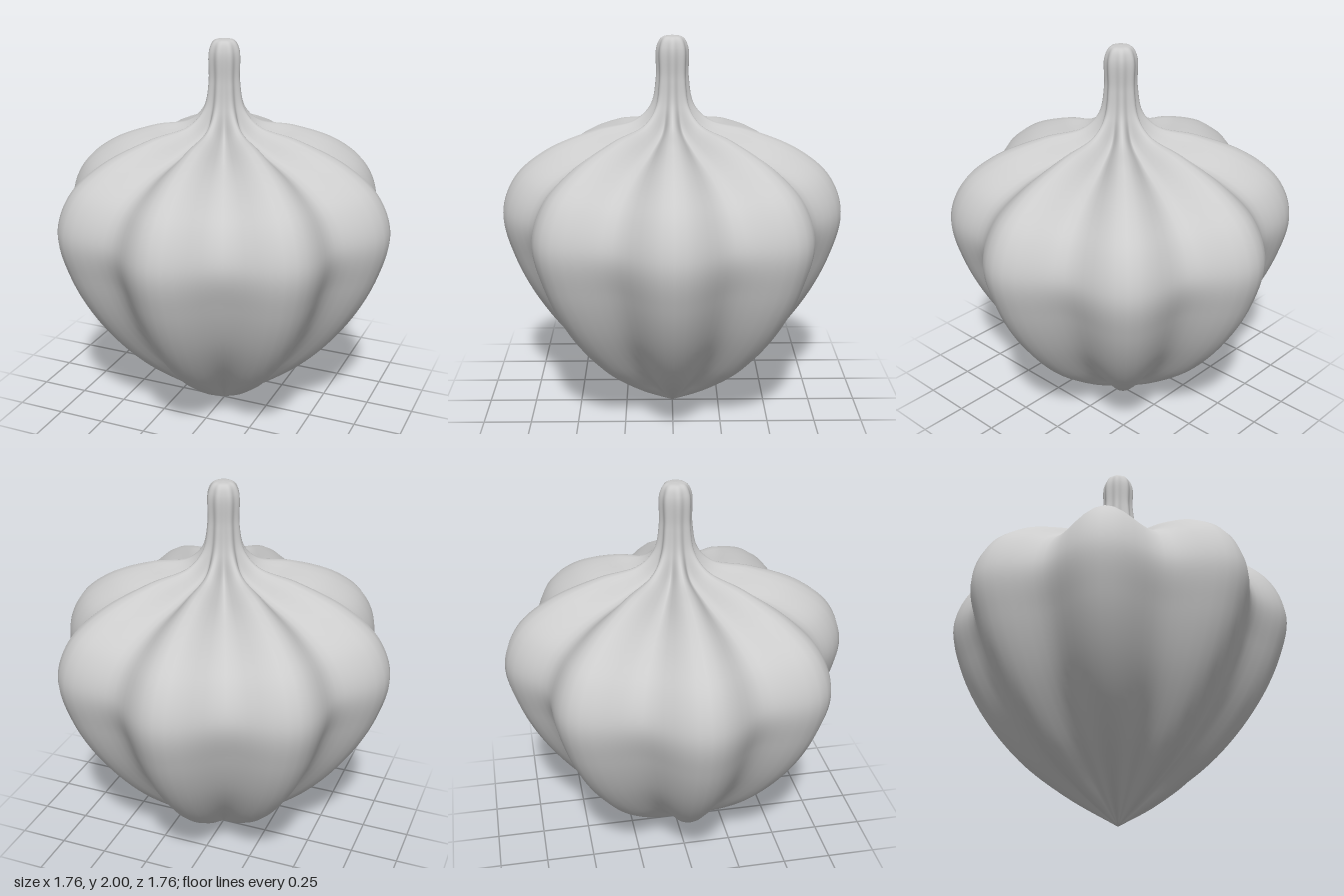
import * as THREE from 'three';
import { mergeVertices } from 'three/addons/utils/BufferGeometryUtils.js';

const LOBES = 8;
const ROWS = 110;
const SEGMENTS = 96;

// Paired [radius, height] profiles from bottom tip to stem top:
// one along the crest of a lobe, one along the groove between lobes.
const CREST = [
  [0, 0], [0.25, 0.15], [0.49, 0.34], [0.70, 0.60], [0.83, 0.86], [0.88, 1.09],
  [0.81, 1.28], [0.645, 1.42], [0.39, 1.525], [0.19, 1.575], [0.11, 1.655],
  [0.083, 1.79], [0.08, 1.94], [0.053, 1.99], [0, 2],
];
const GROOVE = [
  [0, 0], [0.18, 0.155], [0.39, 0.35], [0.58, 0.60], [0.70, 0.86], [0.755, 1.08],
  [0.68, 1.25], [0.51, 1.37], [0.27, 1.465], [0.13, 1.54], [0.088, 1.65],
  [0.072, 1.79], [0.072, 1.94], [0.05, 1.99], [0, 2],
];

function sampleProfile(points) {
  const curve = new THREE.CatmullRomCurve3(
    points.map(([r, y]) => new THREE.Vector3(r, y, 0)), false, 'centripetal');
  return Array.from({ length: ROWS + 1 }, (_, j) => {
    const p = curve.getPoint(j / ROWS);
    return new THREE.Vector2(Math.max(0, p.x), p.y);
  });
}

// Lathe whose radius and height swing between the crest and groove profiles
function lobedGeometry() {
  const crest = sampleProfile(CREST);
  const groove = sampleProfile(GROOVE);
  let geometry = new THREE.LatheGeometry(crest, SEGMENTS);
  const position = geometry.attributes.position;
  for (let i = 0; i <= SEGMENTS; i++) {
    const angle = ((i % SEGMENTS) / SEGMENTS) * Math.PI * 2;
    const blend = 0.5 - 0.5 * Math.cos(LOBES * angle);
    for (let j = 0; j <= ROWS; j++) {
      const p = crest[j].clone().lerp(groove[j], blend);
      position.setXYZ(i * (ROWS + 1) + j, p.x * Math.sin(angle), p.y, p.x * Math.cos(angle));
    }
  }
  // Weld the seam and poles so the shading is continuous
  geometry.deleteAttribute('uv');
  geometry.deleteAttribute('normal');
  geometry = mergeVertices(geometry, 1e-5);
  geometry.computeVertexNormals();
  return geometry;
}

export function createModel() {
  const model = new THREE.Group();
  model.name = 'lobedBulb';
  // Lobed body flowing into its stem as one skin
  const body = new THREE.Mesh(
    lobedGeometry(),
    new THREE.MeshStandardMaterial({ color: 0xcccccc }));
  body.name = 'bodyAndStem';
  model.add(body);
  return model;
}
